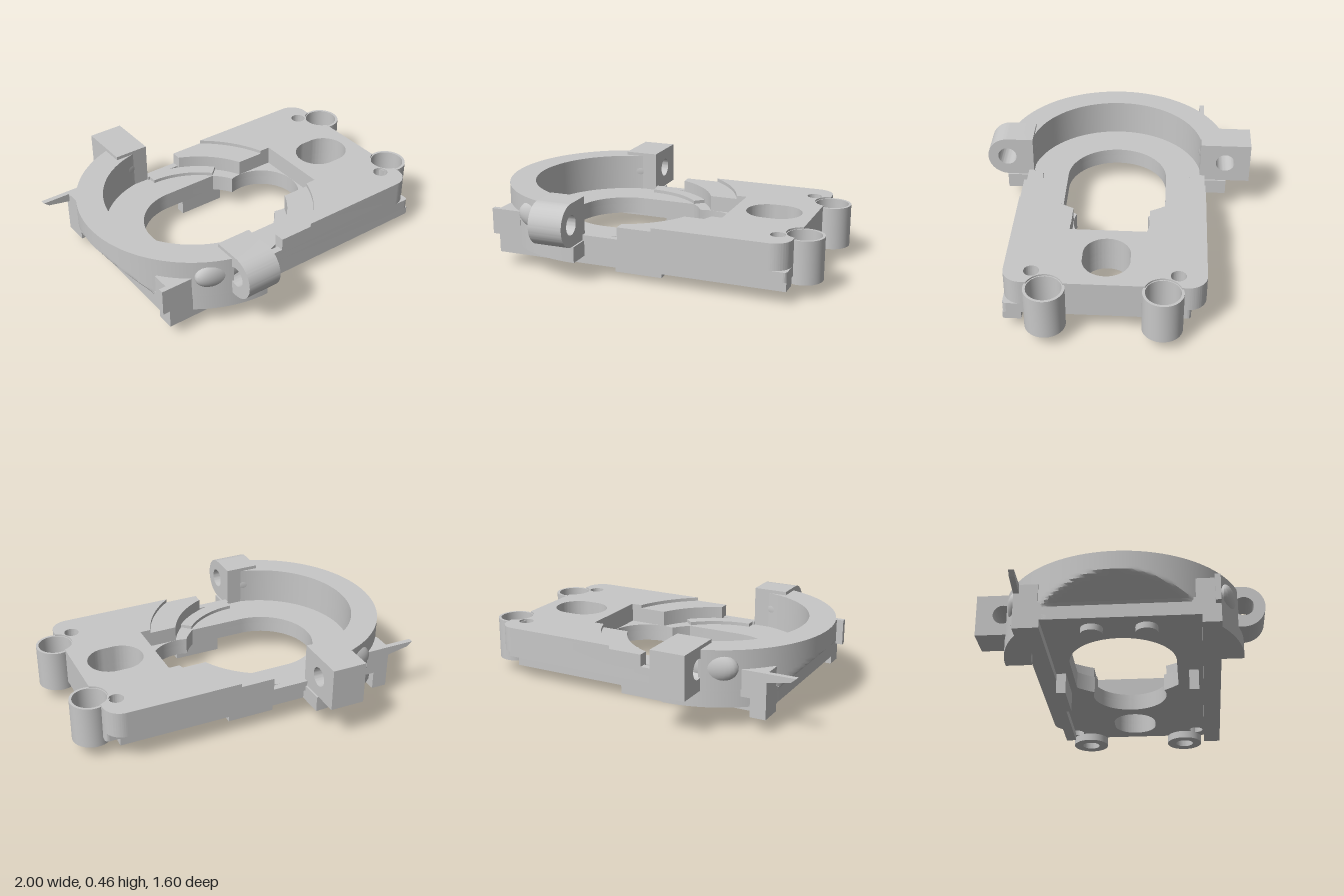
import * as THREE from 'three';
import { toCreasedNormals } from 'three/addons/utils/BufferGeometryUtils.js';

const CX = -0.3, CZ = 0.01; // centre of the round seat
const BACK = -0.53, FRONT = 0.55, RIGHT = 0.86, LEFT = -0.84;
const POST_X = 0.89, POST_Z = [-0.3, 0.32];

export function createModel() {
  const group = new THREE.Group();
  const grey = new THREE.MeshStandardMaterial({ color: 0xc8c8c8 });
  grey.name = 'grey';

  const add = (name, geometry) => {
    const mesh = new THREE.Mesh(toCreasedNormals(geometry, 0.5), grey);
    mesh.name = name;
    group.add(mesh);
  };
  const box = (name, x0, x1, y0, y1, z0, z1) => add(name,
    new THREE.BoxGeometry(x1 - x0, y1 - y0, z1 - z0)
      .translate((x0 + x1) / 2, (y0 + y1) / 2, (z0 + z1) / 2));
  // Horizontal plate from a shape drawn in x and z
  const plateGeometry = (shape, y0, y1, steps = 1) =>
    new THREE.ExtrudeGeometry(shape, { depth: y1 - y0, steps, bevelEnabled: false, curveSegments: 28 })
      .rotateX(Math.PI / 2).translate(0, y1, 0);
  const plate = (name, shape, y0, y1) => add(name, plateGeometry(shape, y0, y1));
  const circle = (x, y, r) => new THREE.Path().absarc(x, y, r, 0, Math.PI * 2, false);

  // Outline with rounded right corners and post notches; a radius cuts away the round seat
  const outline = (zb, zf, c, radius, x0 = LEFT) => {
    const s = new THREE.Shape();
    s.moveTo(x0, zb);
    s.lineTo(RIGHT - c, zb);
    s.absarc(RIGHT - c, zb + c, c, -Math.PI / 2, 0, false);
    for (const z of POST_Z) s.absarc(POST_X, z, 0.1, -1.875, 1.875, true);
    s.absarc(RIGHT - c, zf - c, c, 0, Math.PI / 2, false);
    s.lineTo(x0, zf);
    if (radius) {
      const a = Math.acos((x0 - CX) / radius), b = Math.asin(0.22 / radius);
      s.absarc(CX, CZ, radius, a, b, true);
      s.lineTo(0.395, 0.23);
      s.lineTo(0.395, -0.21);
      s.absarc(CX, CZ, radius, -b, -a, true);
    }
    s.lineTo(x0, zb);
    // Oblong opening and small pin holes
    const slot = new THREE.Path();
    slot.absarc(0.60, CZ, 0.13, Math.PI / 2, Math.PI * 1.5, false);
    slot.absarc(0.66, CZ, 0.13, -Math.PI / 2, Math.PI / 2, false);
    s.holes.push(slot, circle(0.765, -0.378, 0.042), circle(0.765, 0.398, 0.042));
    return s;
  };
  // Keyhole-like central opening
  const opening = () => {
    const p = new THREE.Path();
    p.absarc(CX, 0.005, 0.3, Math.PI / 2, Math.PI * 1.5, false);
    p.lineTo(0.03, -0.295);
    p.quadraticCurveTo(0.08, -0.25, 0.105, -0.2);
    p.absarc(0.175, CZ, 0.219, -1.89, 1.89, false);
    p.quadraticCurveTo(0.08, 0.26, 0.03, 0.305);
    p.lineTo(CX, 0.305);
    return p;
  };

  // Base: narrower lower plate, wide floor, then two raised levels
  const lower = outline(-0.45, FRONT, 0.02);
  lower.holes.push(opening());
  plate('lowerPlate', lower, 0.12, 0.18);
  const floor = outline(BACK, FRONT, 0.1);
  floor.holes.push(opening());
  plate('floorPlate', floor, 0.18, 0.22);
  plate('raisedDeck', outline(BACK, FRONT, 0.1, 0.52, -0.1), 0.22, 0.31);
  plate('topDeck', outline(BACK, FRONT, 0.1, 0.67, 0.1), 0.31, 0.33);

  // Underside rails, tabs and bosses
  box('frontRail', LEFT, RIGHT, 0.075, 0.12, 0.45, FRONT);
  box('backRail', LEFT, RIGHT - 0.08, 0.075, 0.12, -0.45, -0.39);
  box('frontTab', -0.17, 0.11, 0, 0.12, 0.37, 0.425);
  box('backTab', -0.17, 0.11, 0, 0.12, -0.39, -0.335);
  for (const z of [-0.13, 0.16]) {
    add('boss', new THREE.CylinderGeometry(0.06, 0.06, 0.04, 24).translate(-0.72, 0.105, z));
  }

  // Half ring wall, its lower left side sloping inward; the upper part leaves room for the lugs
  const ringWall = (name, shape, y0, y1, steps) => {
    const wall = plateGeometry(shape, y0, y1, steps);
    const pos = wall.attributes.position;
    for (let i = 0; i < pos.count; i++) {
      const limit = Math.min(LEFT, -0.97 + Math.max(0, 0.33 - pos.getY(i)));
      pos.setX(i, Math.max(pos.getX(i), limit));
    }
    add(name, wall);
  };
  const lowerRing = new THREE.Shape();
  lowerRing.absarc(CX, CZ, 0.67, Math.PI / 2, Math.PI * 1.5, false);
  lowerRing.absarc(CX, CZ, 0.52, Math.PI * 1.5, Math.PI / 2, true);
  ringWall('lowerRing', lowerRing, 0.12, 0.21, 6);
  const upperRing = new THREE.Shape();
  upperRing.absarc(CX, CZ, 0.67, 1.874, Math.PI * 2 - 1.874, false);
  upperRing.lineTo(-0.5, -0.515);
  upperRing.lineTo(-0.31, -0.515);
  upperRing.absarc(CX, CZ, 0.52, Math.PI * 1.5 - 0.02, Math.PI / 2 + 0.02, true);
  upperRing.lineTo(-0.31, 0.535);
  upperRing.lineTo(-0.5, 0.535);
  ringWall('upperRing', upperRing, 0.21, 0.435, 15);

  // Low curved ledges and edge strips beside the seat
  for (const side of [1, -1]) {
    const ledge = new THREE.Shape();
    const a0 = side > 0 ? 0.75 : -Math.PI / 2, a1 = side > 0 ? Math.PI / 2 : -0.75;
    ledge.absarc(CX, CZ, 0.52, a0, a1, false);
    ledge.absarc(CX, CZ, 0.45, a1, a0, true);
    plate('curvedLedge', ledge, 0.22, 0.24);
  }
  box('frontStrip', -0.31, -0.1, 0.22, 0.24, 0.51, FRONT);
  box('backStrip', -0.31, -0.1, 0.22, 0.24, BACK, -0.49);

  // Left corner blocks and locating lips
  box('frontCorner', -0.84, -0.7, 0.18, 0.33, 0.42, FRONT);
  box('backCorner', -0.84, -0.7, 0.18, 0.33, BACK, -0.4);
  box('backFoot', LEFT, -0.75, 0.075, 0.18, BACK, -0.42);
  box('frontLip', -0.88, -0.84, 0.18, 0.33, 0.52, FRONT);
  const lip = new THREE.Shape();
  lip.moveTo(-1, 0.33);
  lip.lineTo(-0.97, 0.305);
  lip.lineTo(-0.84, 0.28);
  lip.lineTo(-0.84, 0.33);
  add('backLip', new THREE.ExtrudeGeometry(lip, { depth: 0.03, bevelEnabled: false }).translate(0, 0, BACK));

  // Hollow screw posts
  const profile = [[0.055, 0.075], [0.11, 0.075], [0.11, 0.32], [0.095, 0.32],
    [0.095, 0.14], [0.055, 0.14], [0.055, 0.075]].map(([r, y]) => new THREE.Vector2(r, y));
  for (const z of POST_Z) {
    add('screwPost', new THREE.LatheGeometry(profile, 40).translate(POST_X, 0, z));
  }

  // Pierced lugs: rounded at the front, square at the back
  const lug = (name, shape, holeZ) => {
    shape.holes.push(circle(holeZ, 0.335, 0.056));
    add(name, new THREE.ExtrudeGeometry(shape, { depth: 0.2, bevelEnabled: false, curveSegments: 24 })
      .rotateY(-Math.PI / 2).translate(-0.31, 0, 0));
  };
  const round = new THREE.Shape();
  round.moveTo(0.52, 0.21);
  round.lineTo(0.675, 0.21);
  round.absarc(0.675, 0.3325, 0.1225, -Math.PI / 2, Math.PI / 2, false);
  round.lineTo(0.52, 0.455);
  lug('frontLug', round, 0.68);
  const square = new THREE.Shape();
  square.moveTo(-0.8, 0.21);
  square.lineTo(-0.5, 0.21);
  square.lineTo(-0.5, 0.455);
  square.lineTo(-0.8, 0.455);
  lug('backLug', square, -0.65);

  // Rounded bulges joining the lugs to the ring
  for (const z of [0.57, -0.55]) {
    add('lugBulge', new THREE.SphereGeometry(1, 32, 20).scale(0.18, 0.1, 0.065).translate(-0.51, 0.335, z));
  }
  return group;
}
